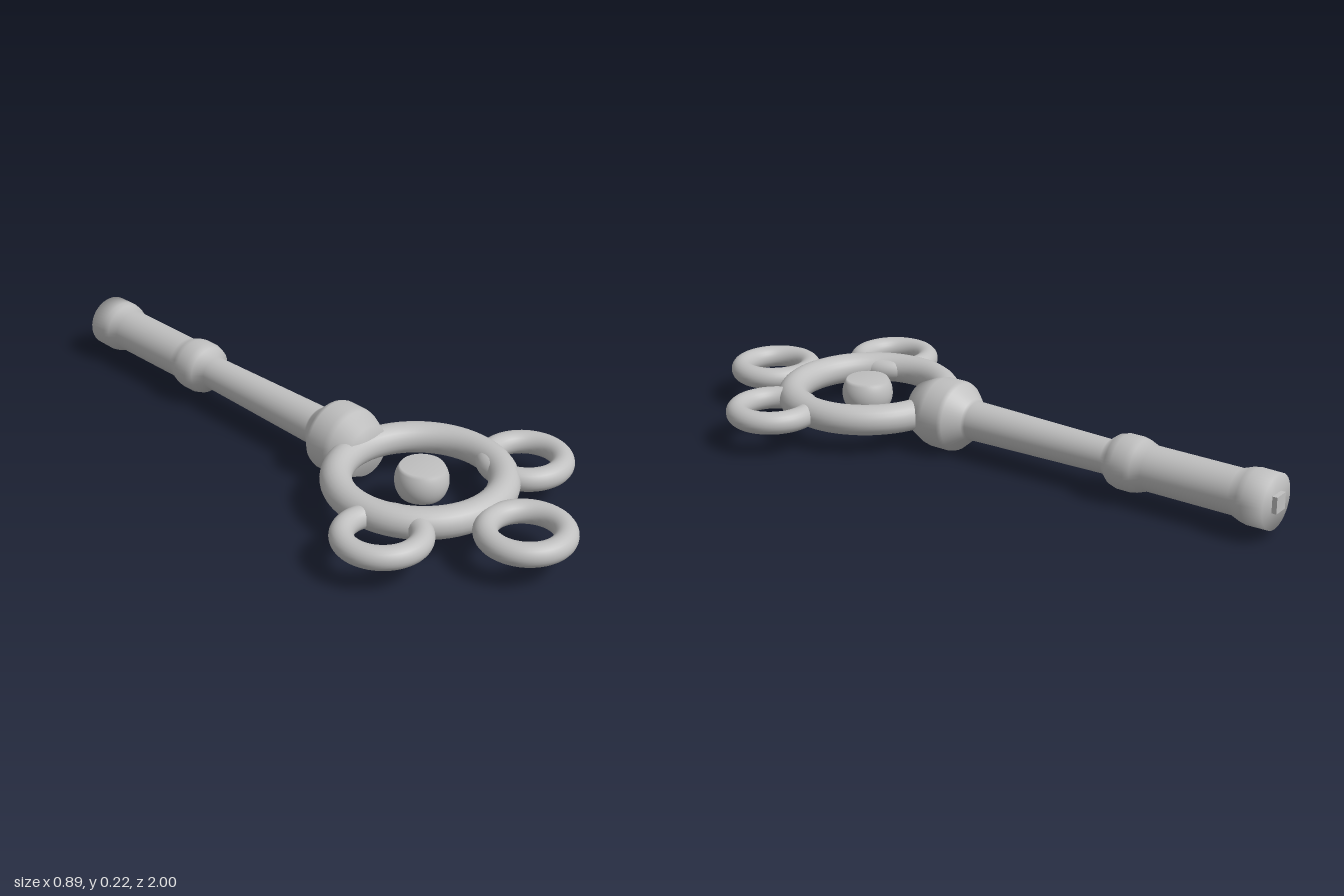
import * as THREE from 'three';

export function createModel() {
  const key = new THREE.Group();
  key.name = 'key';
  const metal = new THREE.MeshStandardMaterial({ color: 0xc0c0c0 });
  metal.name = 'grey metal';
  const MID = 0.113; // height of the key's centre plane

  function add(name, geometry, x, y, z) {
    const mesh = new THREE.Mesh(geometry, metal);
    mesh.name = name;
    mesh.position.set(x, y, z);
    key.add(mesh);
    return mesh;
  }
  function lathe(profile, segments) {
    return new THREE.LatheGeometry(profile.map(([r, h]) => new THREE.Vector2(r, h)), segments);
  }
  function ring(name, radius, tube, x, z) {
    add(name, new THREE.TorusGeometry(radius, tube, 24, 64).rotateX(Math.PI / 2), x, MID, z);
  }

  // Bow: a large ring with three small rings around it
  ring('bowRing', 0.242, 0.047, 0, 0.455);
  ring('frontLoop', 0.111, 0.035, 0, 0.854);
  for (const side of [-1, 1]) {
    ring(side > 0 ? 'leftLoop' : 'rightLoop', 0.111, 0.035, side * 0.297, 0.595);
  }

  // Bead in the middle of the bow, a ball with its poles cut flat
  const R = 0.08, H = 0.047, bead = [[0, -H]];
  const cut = Math.asin(H / R);
  for (let i = 0; i <= 10; i++) {
    const a = -cut + (2 * cut * i) / 10;
    bead.push([R * Math.cos(a), R * Math.sin(a)]);
  }
  bead.push([0, H]);
  add('centreBead', lathe(bead, 40), 0, MID, 0.463);

  // Shaft with flared tip, collar and thick head, as radius and z
  const shaft = [
    [0, -0.985], [0.082, -0.985], [0.083, -0.92], [0.079, -0.9], [0.068, -0.87],
    [0.068, -0.59], [0.079, -0.56], [0.083, -0.54], [0.083, -0.5], [0.076, -0.475], [0.052, -0.445],
    [0.061, 0.035], [0.066, 0.045], [0.105, 0.09], [0.11, 0.105], [0.11, 0.165],
    [0.106, 0.185], [0.08, 0.243], [0, 0.245],
  ];
  add('shaft', lathe(shaft, 48).rotateX(Math.PI / 2), 0, MID, 0);

  // Small square peg on the tip
  add('tipPeg', new THREE.BoxGeometry(0.05, 0.05, 0.025), 0, MID, -0.9875);

  return key;
}
